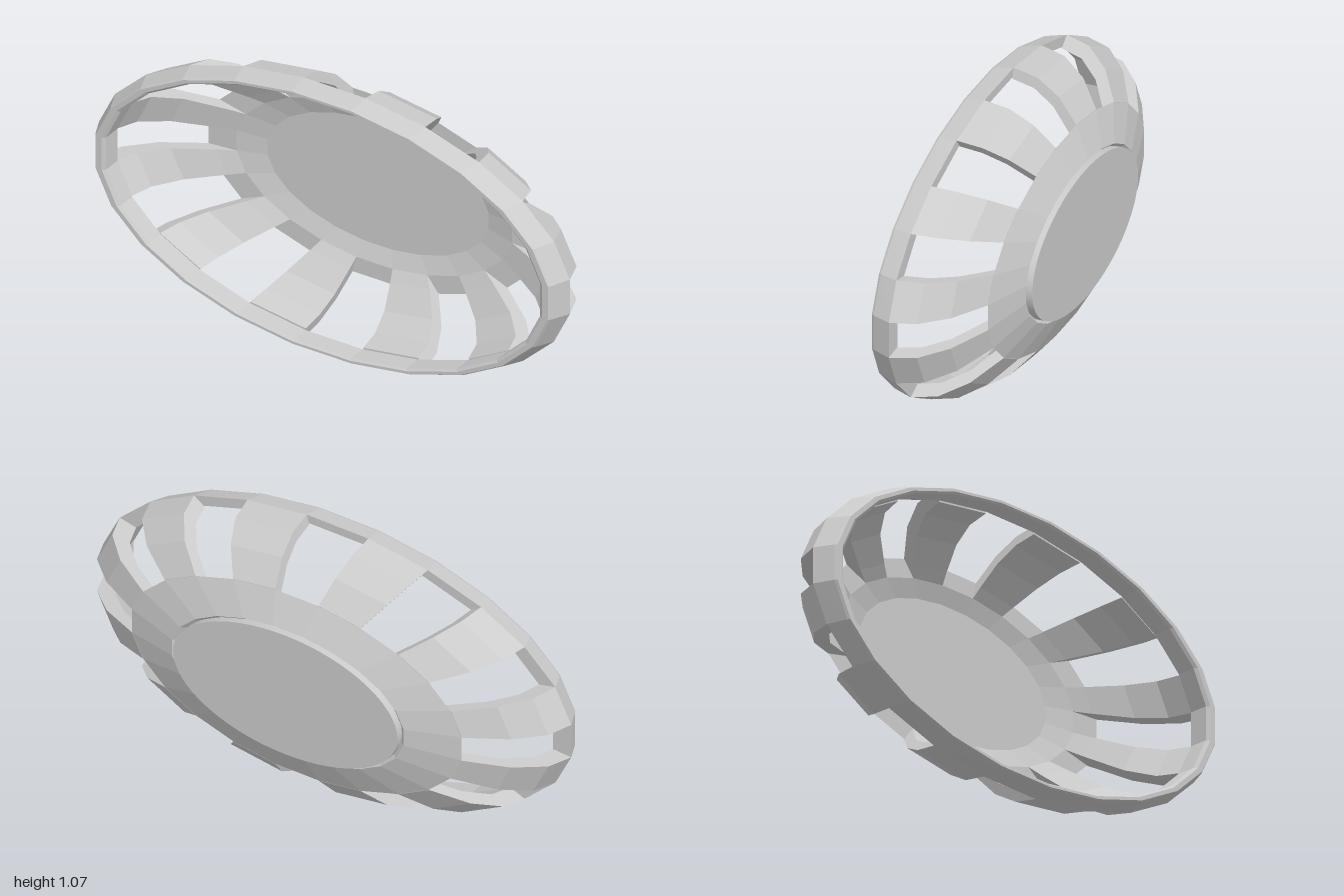
import * as THREE from 'three';

const SIDES = 24;
const STEP = (Math.PI * 2) / SIDES;
const RX = 1.0086, RY = 0.5415, CENTRE_Y = 0.537; // facet corners sit half a step off the axes
const EDGE_Z = 0.125, SLOT_Z = -0.133;

const material = new THREE.MeshStandardMaterial({ color: 0xcccccc, flatShading: true });
const smooth = new THREE.MeshStandardMaterial({ color: 0xcccccc });

// Sweeps a closed section [rx, z, ry] around the oval, counter-clockwise in (r, z);
// partial sweeps get end caps.
function sweep(section, first, count) {
  const pos = [];
  const point = ([rx, z, ry = rx], k) => {
    const a = (k + 0.5) * STEP;
    return [rx * RX * Math.cos(a), ry * RY * Math.sin(a), z];
  };
  const n = section.length;
  for (let k = first; k < first + count; k++) {
    for (let i = 0; i < n; i++) {
      const p = section[i], q = section[(i + 1) % n];
      const a = point(p, k), b = point(p, k + 1), c = point(q, k + 1), d = point(q, k);
      pos.push(...a, ...b, ...c, ...a, ...c, ...d);
    }
  }
  if (count < SIDES) {
    const flat = section.map(([r, z]) => new THREE.Vector2(r, z));
    for (const [a, b, c] of THREE.ShapeUtils.triangulateShape(flat, [])) {
      for (const i of [a, b, c]) pos.push(...point(section[i], first));
      for (const i of [c, b, a]) pos.push(...point(section[i], first + count));
    }
  }
  const geometry = new THREE.BufferGeometry();
  geometry.setAttribute('position', new THREE.Float32BufferAttribute(pos, 3));
  geometry.computeVertexNormals();
  return geometry;
}

export function createModel() {
  const model = new THREE.Group();
  model.name = 'slottedOvalBowl';
  const add = (name, geometry, mat = material) => {
    const mesh = new THREE.Mesh(geometry, mat);
    mesh.name = name;
    mesh.position.y = CENTRE_Y;
    model.add(mesh);
    return mesh;
  };

  // Front rim with a softened lip
  add('rim', sweep([
    [1, EDGE_Z], [0.967, 0.198, 0.976], [0.96, 0.207, 0.968],
    [0.935, 0.207, 0.95], [0.922, 0.198, 0.938], [0.922, EDGE_Z, 0.938],
  ], 0, SIDES));

  // Curved ribs on every second facet
  const arc = (r, h, deg) => [
    r * Math.cos(THREE.MathUtils.degToRad(deg)),
    EDGE_Z - h * Math.sin(THREE.MathUtils.degToRad(deg)),
  ];
  const outer = [45, 30, 15, 0].map((d) => arc(1, 0.365, d));
  const inner = [0, 15, 30, 45].map((d) => arc(0.925, 0.325, d));
  const ribSection = [...outer, ...inner, [0.585, SLOT_Z]];
  for (let k = 0; k < SIDES; k += 2) add('rib', sweep(ribSection, k, 1));

  // Sloping ring that closes the slots
  add('baseRing', sweep([
    [0.495, -0.19], [0.705, SLOT_Z], [0.585, SLOT_Z], [0.455, -0.16],
  ], 0, SIDES));

  // Flat oval floor and foot
  const disc = new THREE.CylinderGeometry(1, 1, 0.05, 64).rotateX(Math.PI / 2);
  disc.scale(0.48, 0.258, 1);
  add('floorDisc', disc, smooth).position.z = -0.182;

  return model;
}
